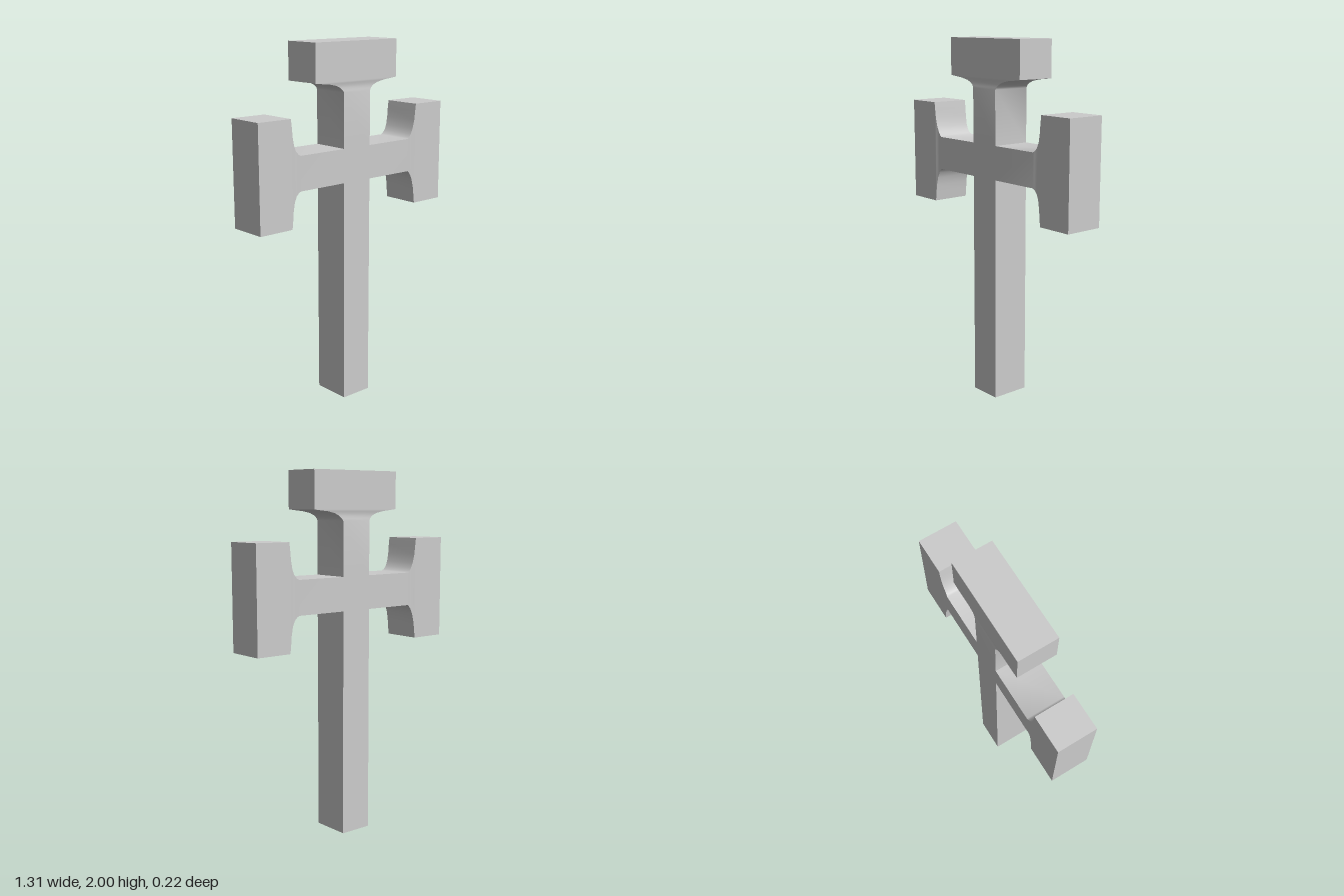
import * as THREE from 'three';
import { toCreasedNormals } from 'three/addons/utils/BufferGeometryUtils.js';

const HALF = 0.093;   // half width of the bars
const DEPTH = 0.11;   // half thickness of the cross
const CENTER = 1.345; // height of the crossing

// Rectangular cross-sections [distance, half width, half depth] joined along +y
function loft(stations, capped) {
  const positions = [];
  const index = [];
  const corners = [[1, 1], [1, -1], [-1, -1], [-1, 1]];
  stations.forEach(([d, w, z]) => corners.forEach(([sx, sz]) => positions.push(sx * w, d, sz * z)));
  for (let i = 0; i < stations.length - 1; i++) {
    for (let k = 0; k < 4; k++) {
      const a = i * 4 + k;
      const b = i * 4 + (k + 1) % 4;
      index.push(a, b, a + 4, b, b + 4, a + 4);
    }
  }
  if (capped) {
    const e = (stations.length - 1) * 4;
    index.push(e, e + 1, e + 2, e, e + 2, e + 3);
  }
  const geometry = new THREE.BufferGeometry();
  geometry.setAttribute('position', new THREE.Float32BufferAttribute(positions, 3));
  geometry.setIndex(index);
  return toCreasedNormals(geometry, Math.PI / 5);
}

export function createModel() {
  const model = new THREE.Group();
  model.name = 'cross';
  const material = new THREE.MeshStandardMaterial({ color: 0xcccccc, side: THREE.DoubleSide });

  const add = (name, geometry, angle = 0) => {
    const mesh = new THREE.Mesh(geometry, material);
    mesh.name = name;
    mesh.position.y = CENTER;
    mesh.rotation.z = angle;
    model.add(mesh);
    return mesh;
  };

  // Arm: straight bar, slightly pinched curved neck, wide block at the end
  const arm = loft([
    [HALF, HALF, DEPTH],
    [0.39, HALF, DEPTH],
    [0.402, 0.1, 0.108],
    [0.417, 0.118, 0.106],
    [0.43, 0.148, 0.107],
    [0.44, 0.195, 0.109],
    [0.445, 0.245, DEPTH],
    [0.45, 0.287, DEPTH],
    [0.655, 0.287, DEPTH],
  ], true);
  add('topArm', arm);
  add('leftArm', arm, -Math.PI / 2);
  add('rightArm', arm, Math.PI / 2);

  // Long shaft, hollow and open at the foot
  add('shaft', loft([[HALF, HALF, DEPTH], [CENTER, HALF, DEPTH]], false), Math.PI);

  // Front and back faces of the crossing
  const face = new THREE.PlaneGeometry(HALF * 2, HALF * 2);
  add('crossingFront', face).position.z = DEPTH;
  const back = add('crossingBack', face);
  back.position.z = -DEPTH;
  back.rotation.y = Math.PI;

  return model;
}
